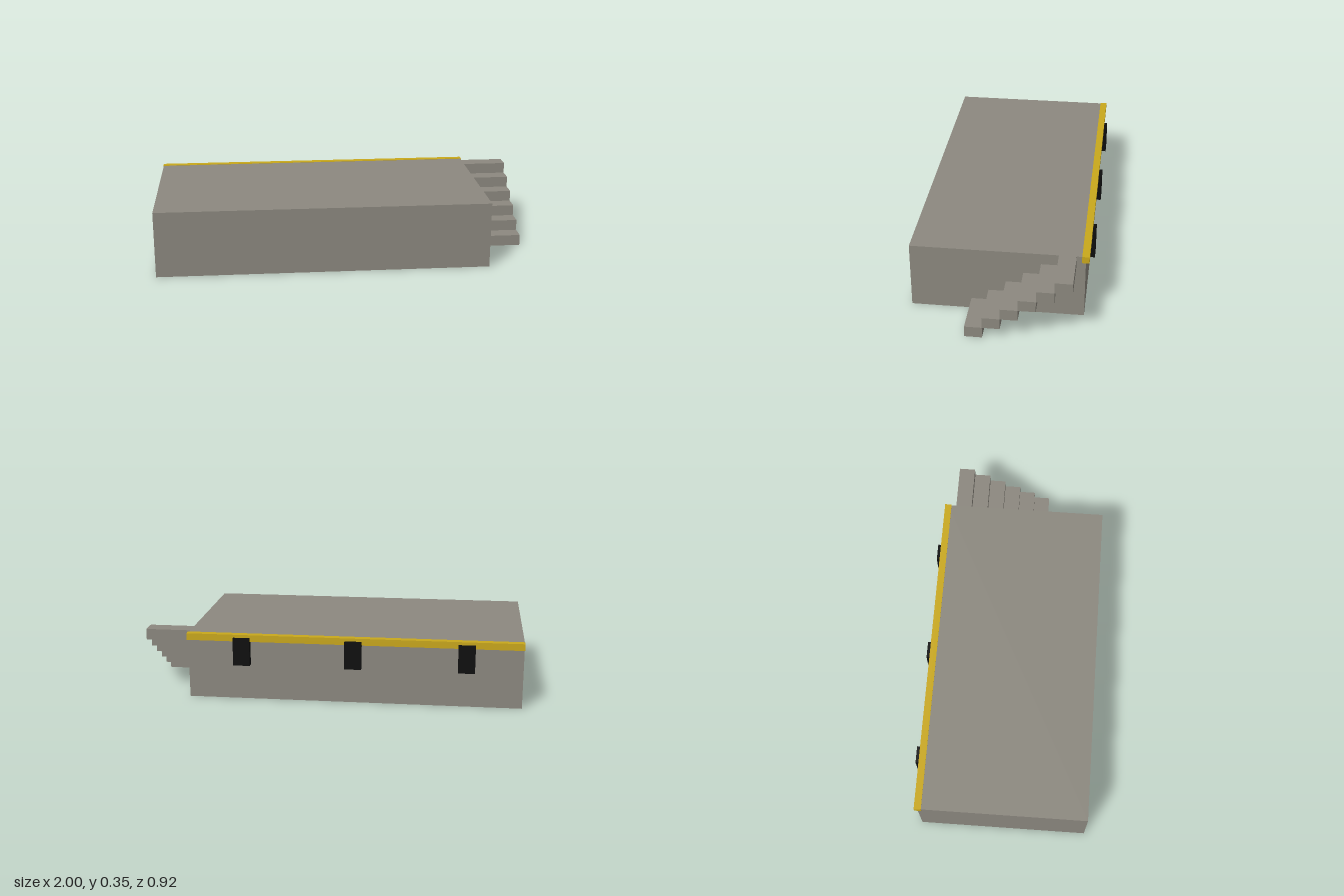
import * as THREE from 'three';

export function createModel() {
  const group = new THREE.Group();
  const material = (name, color) => {
    const m = new THREE.MeshStandardMaterial({ color });
    m.name = name;
    return m;
  };
  const concrete = material('concrete', 0x8c887f);
  const yellow = material('safetyYellow', 0xc9a81c);
  const rubber = material('blackRubber', 0x0d0d0d);

  // Box given by its minimum and maximum corners
  const addBox = (name, mat, [x0, y0, z0], [x1, y1, z1]) => {
    const mesh = new THREE.Mesh(new THREE.BoxGeometry(x1 - x0, y1 - y0, z1 - z0), mat);
    mesh.position.set((x0 + x1) / 2, (y0 + y1) / 2, (z0 + z1) / 2);
    mesh.name = name;
    group.add(mesh);
  };

  // Loading platform
  const height = 0.352, back = -0.424, side = 0.76;
  addBox('platform', concrete, [-0.998, 0, back], [side, height, 0.459]);

  // Safety edge along the back of the deck
  addBox('safetyEdge', yellow, [-1, 0.318, -0.442], [0.764, 0.354, -0.405]);

  // Dock bumpers under the edge
  for (const x of [-0.706, -0.118, 0.47]) {
    addBox('dockBumper', rubber, [x - 0.044, 0.191, -0.459], [x + 0.044, 0.338, back]);
  }

  // Floating steps rising towards the back
  const steps = 6, rise = height / steps, run = 0.088;
  for (let i = 0; i < steps; i++) {
    const front = 0.15 - i * run;
    addBox('step', concrete, [side, i * rise, front - run], [1, (i + 1) * rise, front]);
  }
  return group;
}
